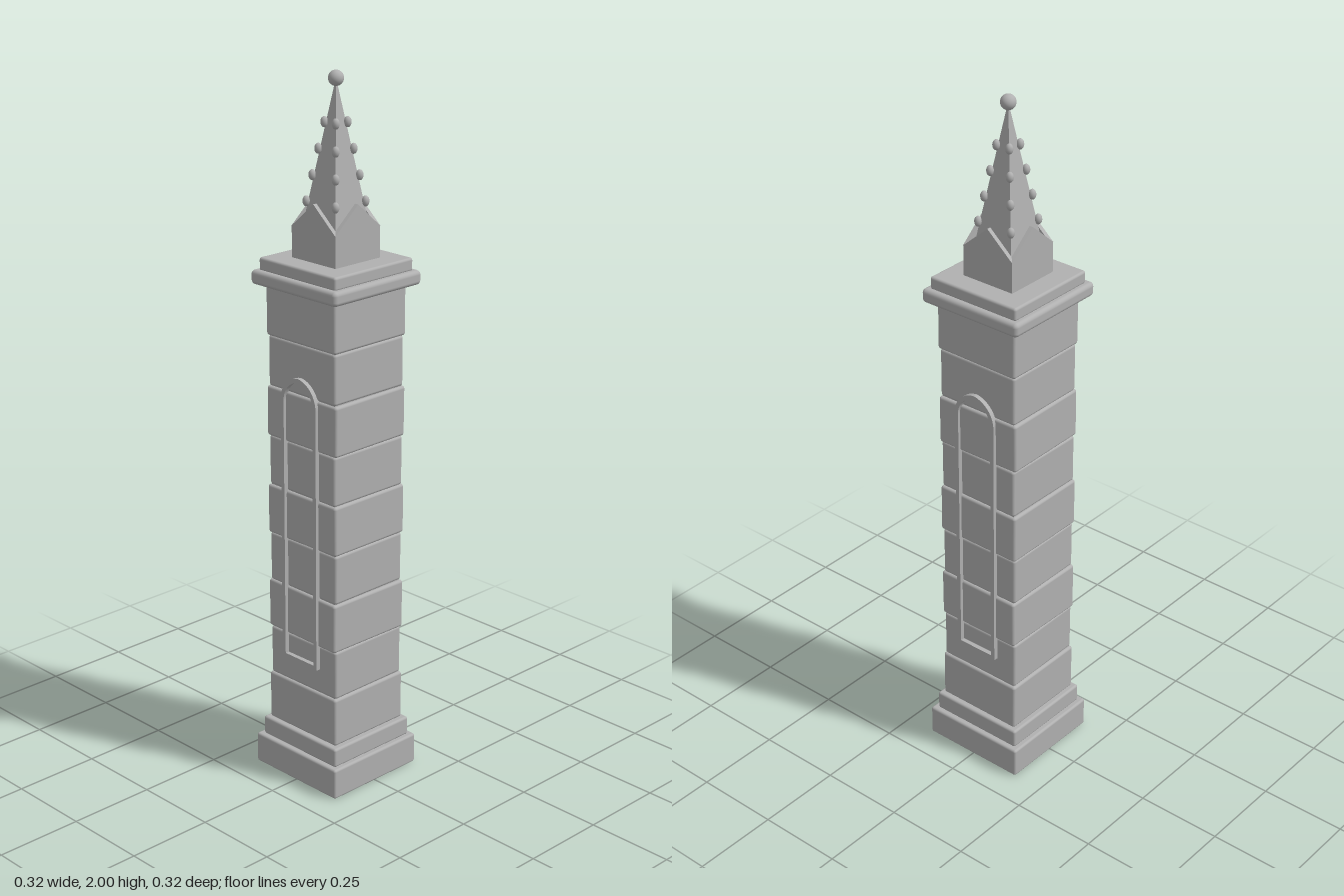
import * as THREE from 'three';
import { toCreasedNormals } from 'three/addons/utils/BufferGeometryUtils.js';
import { RoundedBoxGeometry } from 'three/addons/geometries/RoundedBoxGeometry.js';

const stone = new THREE.MeshStandardMaterial({ color: 0xb0b0b0 });
stone.name = 'stone';

function add(parent, name, geometry, x = 0, y = 0, z = 0) {
  const mesh = new THREE.Mesh(geometry, stone);
  mesh.name = name;
  mesh.position.set(x, y, z);
  parent.add(mesh);
  return mesh;
}

// Square slab with softened edges, given by its half width and its bottom and top
function slab(parent, name, half, y0, y1, radius) {
  const geometry = new RoundedBoxGeometry(half * 2, y1 - y0, half * 2, 3, radius);
  return add(parent, name, geometry, 0, (y0 + y1) / 2, 0);
}

// Pointed arch outline: straight jambs with two arcs struck from offset centres
function archOutline(path, w, bottom, spring, d) {
  const r = w + d;
  const a = Math.acos(d / r);
  path.moveTo(-w, bottom);
  path.lineTo(w, bottom);
  path.lineTo(w, spring);
  path.absarc(-d, spring, r, 0, a, false);
  path.absarc(d, spring, r, Math.PI - a, Math.PI, false);
  path.lineTo(-w, bottom);
  return path;
}

export function createModel() {
  const model = new THREE.Group();
  model.name = 'stoneTower';

  // Stepped foot
  slab(model, 'plinth', 0.161, 0, 0.09, 0.007);
  slab(model, 'plinthStep', 0.146, 0.088, 0.144, 0.007);

  // Shaft of nine slightly uneven courses around a core
  const shaft = new THREE.Group();
  shaft.name = 'shaft';
  model.add(shaft);
  add(shaft, 'core', new THREE.BoxGeometry(0.25, 1.3, 0.25), 0, 0.785, 0);
  const rows = 9, bottom = 0.144, step = (1.43 - bottom) / rows;
  for (let i = 0; i < rows; i++) {
    const half = i % 2 ? 0.129 : 0.133;
    const course = slab(shaft, 'course', half, bottom + i * step, bottom + (i + 1) * step, 0.008);
    course.rotation.y = 0.012 * Math.sin(i * 2.3);
    course.rotation.z = 0.006 * Math.sin(i * 1.7 + 1);
  }

  // Blind arched frames on front and back
  const outline = archOutline(new THREE.Shape(), 0.068, 0.36, 1.12, 0.0074);
  outline.holes.push(archOutline(new THREE.Path(), 0.056, 0.372, 1.12, 0.0074));
  const frame = new THREE.ExtrudeGeometry(outline, { depth: 0.02, bevelEnabled: false, curveSegments: 10 });
  frame.translate(0, 0, 0.122);
  add(model, 'frontArchFrame', frame);
  add(model, 'backArchFrame', frame).rotation.y = Math.PI;

  // Cornice
  slab(model, 'corniceLower', 0.162, 1.428, 1.468, 0.012);
  slab(model, 'corniceUpper', 0.145, 1.465, 1.502, 0.007);

  // Pinnacle block and spire
  const pinnacle = new THREE.Group();
  pinnacle.name = 'pinnacle';
  model.add(pinnacle);
  add(pinnacle, 'pinnacleBlock', new THREE.BoxGeometry(0.165, 0.09, 0.165), 0, 1.545, 0);
  const cone = new THREE.ConeGeometry(0.062 * Math.SQRT2, 0.39, 4, 1);
  cone.rotateY(Math.PI / 4);
  add(pinnacle, 'spire', toCreasedNormals(cone, 0.3), 0, 1.785, 0);
  add(pinnacle, 'finial', new THREE.SphereGeometry(0.021, 20, 14), 0, 1.979, 0);

  // Triangular gable on each side of the spire
  const triangle = new THREE.Shape([
    new THREE.Vector2(-0.083, 1.588),
    new THREE.Vector2(0.083, 1.588),
    new THREE.Vector2(0, 1.66),
  ]);
  const gable = new THREE.ExtrudeGeometry(triangle, { depth: 0.012, bevelEnabled: false });
  gable.translate(0, 0, 0.071);
  for (let i = 0; i < 4; i++) {
    add(pinnacle, 'gable', gable).rotation.y = i * Math.PI / 2;
  }

  // Crockets climbing the four spire edges
  const crocket = new THREE.SphereGeometry(0.0105, 12, 8);
  crocket.scale(1, 1.4, 1);
  for (const sx of [-1, 1]) {
    for (const sz of [-1, 1]) {
      for (let i = 0; i < 4; i++) {
        const r = 0.055 - i * 0.0112;
        add(pinnacle, 'crocket', crocket, sx * r, 1.655 + i * 0.07, sz * r);
      }
    }
  }
  return model;
}
